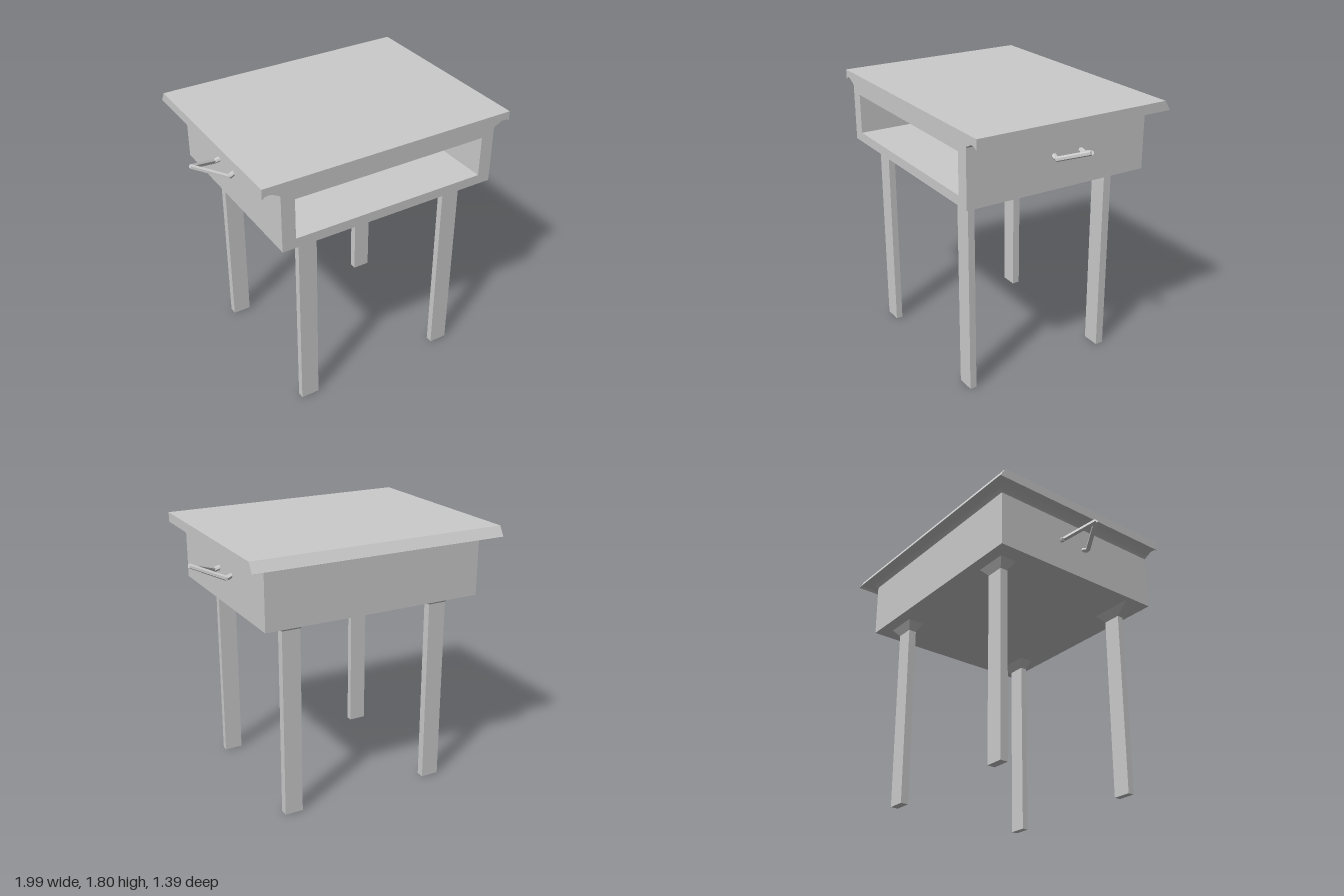
import * as THREE from 'three';
import { toCreasedNormals } from 'three/addons/utils/BufferGeometryUtils.js';

const grey = new THREE.MeshStandardMaterial({ color: 0xcccccc, side: THREE.DoubleSide });
const FRONT = 0.7;

function add(group, name, geometry) {
  const mesh = new THREE.Mesh(geometry, grey);
  mesh.name = name;
  group.add(mesh);
  return mesh;
}

// Block between two rectangles [x0, x1, z0, z1] at heights y0 and y1
function taperedBlock(low, y0, high, y1) {
  const g = new THREE.BoxGeometry(1, 1, 1);
  const p = g.attributes.position;
  for (let i = 0; i < p.count; i++) {
    const top = p.getY(i) > 0;
    const r = top ? high : low;
    p.setXYZ(i, p.getX(i) > 0 ? r[1] : r[0], top ? y1 : y0, p.getZ(i) > 0 ? r[3] : r[2]);
  }
  g.computeVertexNormals();
  return g;
}

// Six-sided bar from a to b
function bar(a, b, radius) {
  const d = b.clone().sub(a);
  const g = new THREE.CylinderGeometry(radius, radius, d.length(), 6).toNonIndexed();
  g.computeVertexNormals();
  const q = new THREE.Quaternion().setFromUnitVectors(new THREE.Vector3(0, 1, 0), d.normalize());
  g.applyQuaternion(q);
  const mid = a.clone().add(b).multiplyScalar(0.5);
  return g.translate(mid.x, mid.y, mid.z);
}

function rectangle(Type, x, y0, y1) {
  return new Type([[-x, y0], [x, y0], [x, y1], [-x, y1]].map(([a, b]) => new THREE.Vector2(a, b)));
}

// Lid with a coved underside: half width, back z and height of each level
function lidGeometry() {
  const levels = [
    [0.755, -0.59, 1.715], [0.765, -0.6, 1.727], [0.785, -0.615, 1.735], [0.805, -0.64, 1.747],
    [0.83, -0.66, 1.75], [0.855, -0.68, 1.745], [0.862, -0.69, 1.736], [0.87, -0.69, 1.735], [0.87, -0.65, 1.8],
  ];
  const rings = levels.map(([x, z, y]) => [[x, y, FRONT], [x, y, z], [-x, y, z], [-x, y, FRONT]]);
  const v = [];
  const quad = (a, b, c, d) => v.push(...a, ...b, ...c, ...a, ...c, ...d);
  for (let i = 0; i < rings.length - 1; i++) {
    const lo = rings[i], hi = rings[i + 1];
    for (let k = 0; k < 3; k++) quad(lo[k], lo[k + 1], hi[k + 1], hi[k]);
  }
  quad(...rings[rings.length - 1]);
  const g = new THREE.BufferGeometry();
  g.setAttribute('position', new THREE.Float32BufferAttribute(v, 3));
  const front = new THREE.Shape([
    ...levels.map(([x, , y]) => new THREE.Vector2(x, y)),
    ...levels.map(([x, , y]) => new THREE.Vector2(-x, y)).reverse(),
  ]);
  return { shell: toCreasedNormals(g, 0.6), front: new THREE.ShapeGeometry(front).translate(0, 0, FRONT) };
}

export function createModel() {
  const model = new THREE.Group();
  model.name = 'desk';

  // Lid
  const lid = lidGeometry();
  add(model, 'lid', lid.shell);
  add(model, 'lidFront', lid.front);

  // Open-fronted case and its back panel
  const frame = rectangle(THREE.Shape, 0.755, 1.335, 1.72);
  frame.holes.push(rectangle(THREE.Path, 0.665, 1.4, 1.67));
  const caseBack = -0.52;
  add(model, 'case', new THREE.ExtrudeGeometry(frame, { depth: FRONT - caseBack, bevelEnabled: false }).translate(0, 0, caseBack));
  add(model, 'backPanel', taperedBlock([-0.755, 0.755, -0.59, caseBack], 1.335, [-0.755, 0.755, -0.59, caseBack], 1.72));

  for (const s of [1, -1]) {
    const side = s > 0 ? 'left' : 'right';
    const rect = (x0, x1, z0, z1) => [Math.min(s * x0, s * x1), Math.max(s * x0, s * x1), z0, z1];

    // Legs with flared brackets under the case
    const frontFoot = rect(0.47, 0.595, 0.555, 0.6);
    const backFoot = rect(0.47, 0.595, -0.475, -0.42);
    add(model, side + 'FrontLeg', taperedBlock(frontFoot, 0, frontFoot, 1.28));
    add(model, side + 'FrontBracket', taperedBlock(frontFoot, 1.28, rect(0.42, 0.735, 0.51, 0.615), 1.336));
    add(model, side + 'BackLeg', taperedBlock(backFoot, 0, backFoot, 1.28));
    add(model, side + 'BackBracket', taperedBlock(backFoot, 1.28, rect(0.42, 0.645, -0.51, -0.39), 1.336));

    // V-shaped side handle, its ends bent back through the wall
    const handle = new THREE.Group();
    handle.name = side + 'Handle';
    const tip = new THREE.Vector3(s * 0.985, 1.622, 0);
    for (const t of [1, -1]) {
      const bend = new THREE.Vector3(s * 0.79, 1.543, t * 0.105);
      const end = new THREE.Vector3(s * 0.635, 1.592, t * 0.075);
      add(handle, 'handleArm', bar(tip, bend, 0.016));
      add(handle, 'handleEnd', bar(bend, end, 0.016));
    }
    model.add(handle);
  }
  return model;
}
